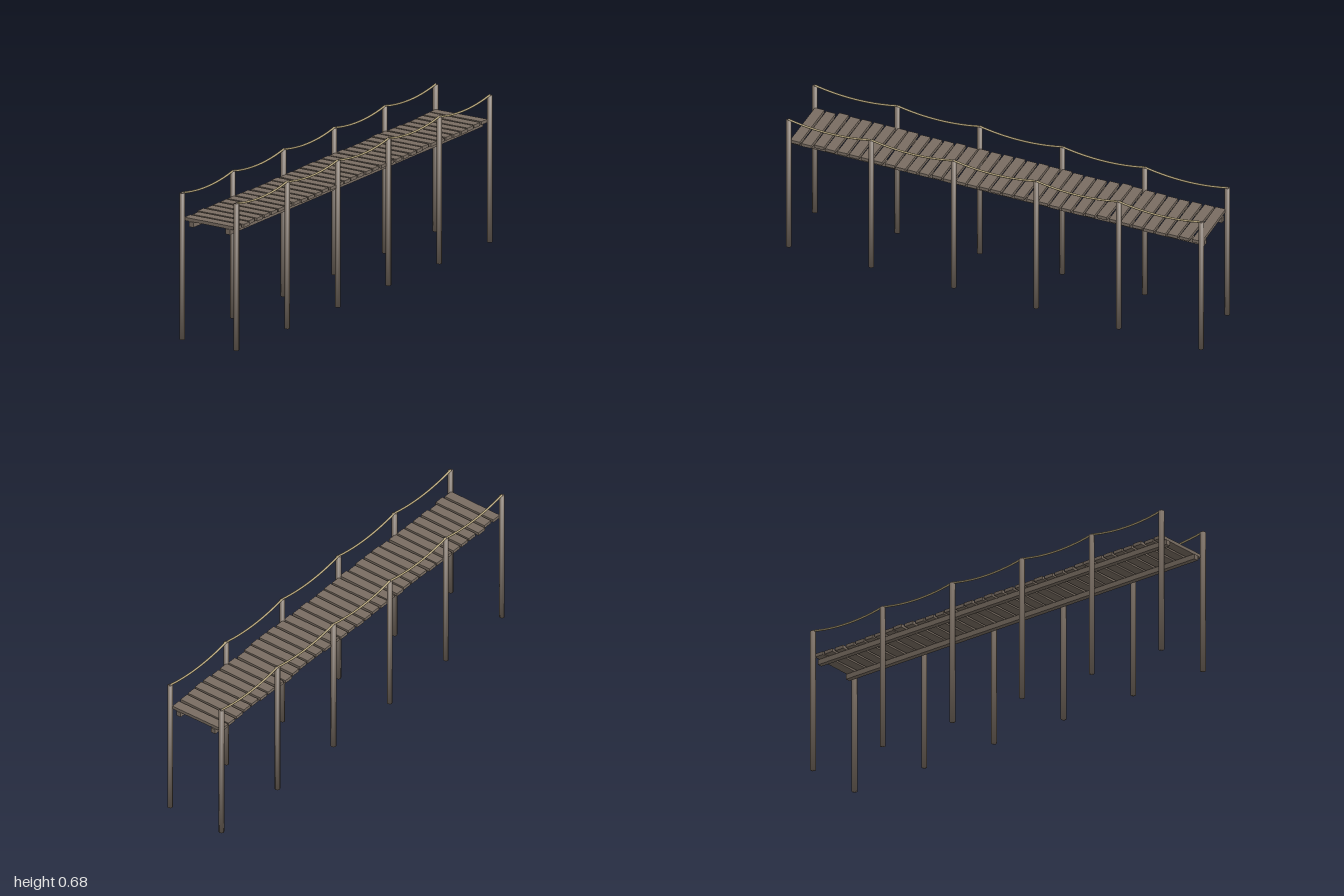
import * as THREE from 'three';

const wood = new THREE.MeshStandardMaterial({ color: 0x796d62 });
wood.name = 'weathered wood';
const ropeFibre = new THREE.MeshStandardMaterial({ color: 0xb0a078 });
ropeFibre.name = 'rope fibre';

const POST_X = 0.1438, POST_Z = 0.987, POST_TOP = 0.671, BAYS = 5, PLANKS = 35;

function add(parent, name, geometry, material, x = 0, y = 0, z = 0) {
  const mesh = new THREE.Mesh(geometry, material);
  mesh.name = name;
  mesh.position.set(x, y, z);
  parent.add(mesh);
  return mesh;
}

// Round post whose smooth normals lean outward over both ends
function postGeometry() {
  const radius = 0.0127;
  const g = new THREE.CylinderGeometry(radius, radius, POST_TOP, 8);
  const { position, normal } = g.attributes;
  const n = new THREE.Vector3();
  for (let i = 0; i < position.count; i++) {
    n.fromBufferAttribute(position, i);
    n.y = Math.sign(n.y) * radius * 0.8;
    n.normalize();
    normal.setXYZ(i, n.x, n.y, n.z);
  }
  return g;
}

// Sagging rope spanning one bay
function ropeGeometry(length) {
  const points = [];
  for (let i = 0; i <= 8; i++) {
    const t = i / 4 - 1;
    points.push(new THREE.Vector3(0, -0.021 * (1 - t * t), t * length / 2));
  }
  return new THREE.TubeGeometry(new THREE.CatmullRomCurve3(points), 20, 0.0048, 8, false);
}

export function createModel() {
  const model = new THREE.Group();
  model.name = 'footbridge';
  const bay = 2 * POST_Z / BAYS;
  const post = postGeometry();
  const rope = ropeGeometry(bay);
  const peg = new THREE.SphereGeometry(0.0054, 8, 6);

  // Posts, pegs, ropes and bearers on both sides
  for (const side of [-1, 1]) {
    const x = side * POST_X;
    const label = side > 0 ? 'left' : 'right';
    for (let i = 0; i <= BAYS; i++) {
      const z = -POST_Z + i * bay;
      add(model, label + 'Post', post, wood, x, POST_TOP / 2, z);
      add(model, label + 'RopePeg', peg, wood, x, 0.673, z);
      if (i < BAYS) add(model, label + 'Rope', rope, ropeFibre, x, 0.6728, z + bay / 2);
    }
    add(model, label + 'Bearer', new THREE.BoxGeometry(0.0235, 0.0235, 1.974), wood, side * 0.097, 0.534, 0);
  }

  // Uneven deck planks: some shifted sideways, all slightly skewed
  let seed = 7;
  const random = () => {
    seed = (seed * 16807) % 2147483647;
    return seed / 2147483647;
  };
  const shiftedLeft = [3, 4, 10, 11, 12, 21, 23, 24, 25, 33];
  const shiftedRight = [8, 32];
  const plank = new THREE.BoxGeometry(0.272, 0.015, 0.046);
  for (let i = 0; i < PLANKS; i++) {
    let shift = (random() - 0.5) * 0.006;
    if (shiftedLeft.includes(i)) shift = 0.006;
    if (shiftedRight.includes(i)) shift = -0.006;
    const z = -0.96 + i * 1.92 / (PLANKS - 1);
    const mesh = add(model, 'deckPlank', plank, wood, shift, 0.5535, z);
    mesh.rotation.y = (random() - 0.5) * 0.045;
  }
  return model;
}
